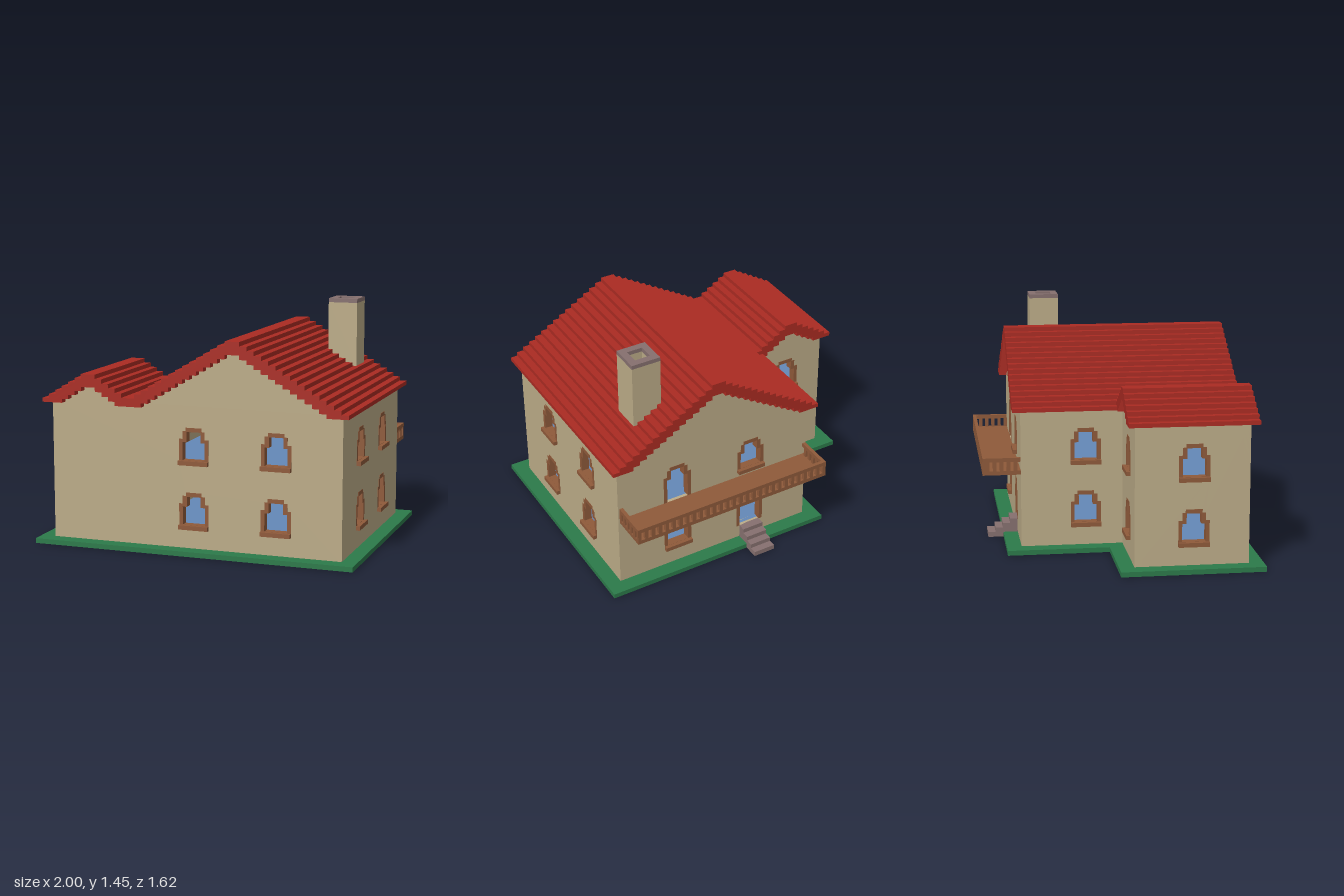
import * as THREE from 'three';

const mat = (name, color) => Object.assign(new THREE.MeshStandardMaterial({ color }), { name });

const T = 0.045; // wall thickness
const FLOOR = 0.115, STOREY = 0.39; // ground floor height and storey height

export function createModel() {
  const cream = mat('cream plaster', 0xbcac88);
  const red = mat('red roof tile', 0xab2b22);
  const brown = mat('brown wood', 0x8f5a3a);
  const grey = mat('grey stone', 0x86706f);
  const green = mat('green grass', 0x2c7a4a);
  const blue = mat('blue floor', 0x6488b8);

  const model = new THREE.Group();
  model.name = 'house';

  const add = (parent, name, geo, material) => {
    const m = new THREE.Mesh(geo, material);
    m.name = name;
    parent.add(m);
    return m;
  };
  // Box given by its minimum and maximum corners
  const box = (parent, name, material, x0, x1, y0, y1, z0, z1) => {
    const m = add(parent, name, new THREE.BoxGeometry(x1 - x0, y1 - y0, z1 - z0), material);
    m.position.set((x0 + x1) / 2, (y0 + y1) / 2, (z0 + z1) / 2);
    return m;
  };
  const toShape = (pts) => new THREE.Shape(pts.map(([x, y]) => new THREE.Vector2(x, y)));
  const extrude = (shape, depth) => new THREE.ExtrudeGeometry(shape, { depth, bevelEnabled: false });

  // L-shaped slab following the house plan, grown by a margin
  const slab = (name, material, margin, y0, y1) => {
    const r = 0.91 + margin, f = -0.72 - margin, b = 0.58 + margin;
    const nx = -0.4 - margin, nz = -0.04 + margin;
    const geo = extrude(toShape([[-r, f], [r, f], [r, b], [nx, b], [nx, nz], [-r, nz]]), y1 - y0);
    geo.rotateX(-Math.PI / 2);
    add(model, name, geo, material).position.y = y0;
  };
  slab('grass', green, 0.09, 0, 0.03);
  slab('groundFloor', blue, -0.02, FLOOR - 0.025, FLOOR);
  slab('upperFloor', blue, -0.02, FLOOR + STOREY - 0.025, FLOOR + STOREY);

  // Stepped arch outline: each tier is [half width, top height]
  const arch = (u, base, y, tiers) => {
    const right = [];
    let low = base;
    for (const [h, top] of tiers) {
      right.push([h, low], [h, y + top]);
      low = y + top;
    }
    const left = right.map(([h, v]) => [-h, v]).reverse();
    return [...right, ...left].map(([h, v]) => [u + h, v]);
  };
  const OUTER = [[0.0925, 0.575], [0.07, 0.622], [0.05, 0.643]];
  const INNER = [[0.07, 0.556], [0.044, 0.618]];

  // Wall with framed openings; openings are [centre, storey, isDoor]
  const wall = (name, pts, openings, position, turn) => {
    const g = new THREE.Group();
    g.name = name;
    const shape = toShape(pts);
    for (const [u, storey, door] of openings) {
      const y = storey * STOREY - 0.275 + 0.0; // arch tiers are measured from here
      const base = door ? FLOOR + storey * STOREY : 0.17 + storey * STOREY;
      const outer = arch(u, base, y, OUTER);
      shape.holes.push(toShape(outer));
      const frame = toShape(door
        ? [...outer, ...arch(u, base, y, INNER).reverse()].map((p) => p)
        : outer);
      if (door) {
        // Open-bottomed frame: go round the outside, then back round the inside
        const inner = arch(u, base, y, INNER);
        frame.setFromPoints([...outer, ...inner.reverse()].map(([a, b]) => new THREE.Vector2(a, b)));
      } else {
        frame.holes.push(toShape(arch(u, base + 0.002, y, INNER)));
        box(g, 'windowSill', brown, u - 0.0925, u + 0.0925, base - 0.025, base + 0.001, -T + 0.002, 0.025);
      }
      add(g, door ? 'doorFrame' : 'windowFrame', extrude(frame, T + 0.004), brown).position.z = -T - 0.002;
    }
    add(g, name + 'Panel', extrude(shape, T), cream).position.z = -T;
    g.position.set(...position);
    g.rotation.y = turn;
    model.add(g);
  };
  const flat = (a, b) => [[a, 0.02], [b, 0.02], [b, 0.88], [a, 0.88]];
  const both = (u) => [[u, 0], [u, 1]];

  wall('frontWall',
    [[-0.91, 0.02], [0.91, 0.02], [0.91, 0.88], [0.255, 1.25], [-0.4, 0.89], [-0.655, 1.02], [-0.91, 0.88]],
    [...both(0), ...both(0.51)], [0, 0, 0.72], 0);
  wall('backWall', [[-0.91, 0.02], [0.4, 0.02], [0.4, 0.88], [-0.255, 1.25], [-0.91, 0.88]],
    [[0, 0, true], [0, 1], [-0.51, 0], [-0.51, 1, true]], [0, 0, -0.58], Math.PI);
  wall('wingBackWall', [[0.355, 0.02], [0.91, 0.02], [0.91, 0.88], [0.655, 1.02], [0.4, 0.89], [0.355, 0.88]],
    both(0.645), [0, 0, 0.04], Math.PI);
  wall('leftWall', flat(-0.72, 0.58), [...both(-0.325), ...both(0.185)], [0.91, 0, 0], Math.PI / 2);
  wall('rightWall', flat(-0.58, 0.04), both(-0.185), [-0.4, 0, 0], -Math.PI / 2);
  wall('wingRightWall', flat(0.04, 0.72), both(0.39), [-0.91, 0, 0], -Math.PI / 2);

  // Stepped gable roof, three tile courses thick
  const roof = (name, cx, half, steps, z0, z1) => {
    const run = (half - 0.045) / steps, rise = 0.026;
    const top = [], bottom = [];
    for (let i = 0; i <= steps; i++) {
      const t = 0.895 + rise * i, b = Math.max(0.87, t - 3 * rise);
      const x = half - run * i;
      top.push([x, t]);
      bottom.push([x, b]);
      if (i < steps) {
        top.push([x - run, t]);
        bottom.push([x - run, b]);
      }
    }
    const mirror = (pts) => pts.map(([x, y]) => [-x, y]);
    const outline = [...top, ...mirror(top).reverse(), ...mirror(bottom), ...[...bottom].reverse()]
      .map(([x, y]) => [cx + x, y])
      .filter((p, i, a) => i === 0 || Math.hypot(p[0] - a[i - 1][0], p[1] - a[i - 1][1]) > 1e-5);
    add(model, name, extrude(toShape(outline), z1 - z0), red).position.z = z0;
  };
  roof('mainRoof', 0.255, 0.7, 15, -0.63, 0.768);
  roof('wingRoof', -0.655, 0.3, 6, 0, 0.767);

  // Hollow chimney with a stone cap
  const tube = (name, material, half, hole, y0, y1) => {
    const sq = (h) => toShape([[-h, -h], [h, -h], [h, h], [-h, h]]);
    const s = sq(half);
    s.holes.push(sq(hole));
    const geo = extrude(s, y1 - y0);
    geo.rotateX(-Math.PI / 2);
    add(model, name, geo, material).position.set(0.627, y0, -0.35);
  };
  tube('chimney', cream, 0.092, 0.048, 1.03, 1.425);
  tube('chimneyCap', grey, 0.092, 0.048, 1.425, 1.45);

  // Balcony: floor, handrails and balusters on three sides
  const balcony = new THREE.Group();
  balcony.name = 'balcony';
  model.add(balcony);
  const X0 = -0.4, X1 = 0.9, Z0 = -0.81, Z1 = -0.58, W = 0.022;
  box(balcony, 'balconyFloor', brown, X0, X1, 0.48, 0.505, Z0, Z1);
  box(balcony, 'backHandrail', brown, X0, X1, 0.56, 0.585, Z0, Z0 + W);
  for (const x of [X0, X1 - W]) box(balcony, 'sideHandrail', brown, x, x + W, 0.56, 0.585, Z0 + W, Z1);
  const post = (x, z) => box(balcony, 'baluster', brown, x, x + W, 0.505, 0.56, z, z + W);
  const N = 28;
  for (let i = 0; i <= N; i++) post(X0 + (i / N) * (X1 - X0 - W), Z0);
  const gap = (Z1 - Z0 - W) / 5;
  for (let i = 1; i <= 5; i++) {
    post(X1 - W, Z0 + i * gap);
    post(X0, Z0 + (i - 0.5) * gap);
  }

  // Stone steps to the back door
  for (let i = 0; i < 4; i++) {
    box(model, 'step', grey, -0.07, 0.07, 0, 0.115 - i * 0.028, -0.627 - i * 0.046, -0.575 - i * 0.046);
  }
  return model;
}
